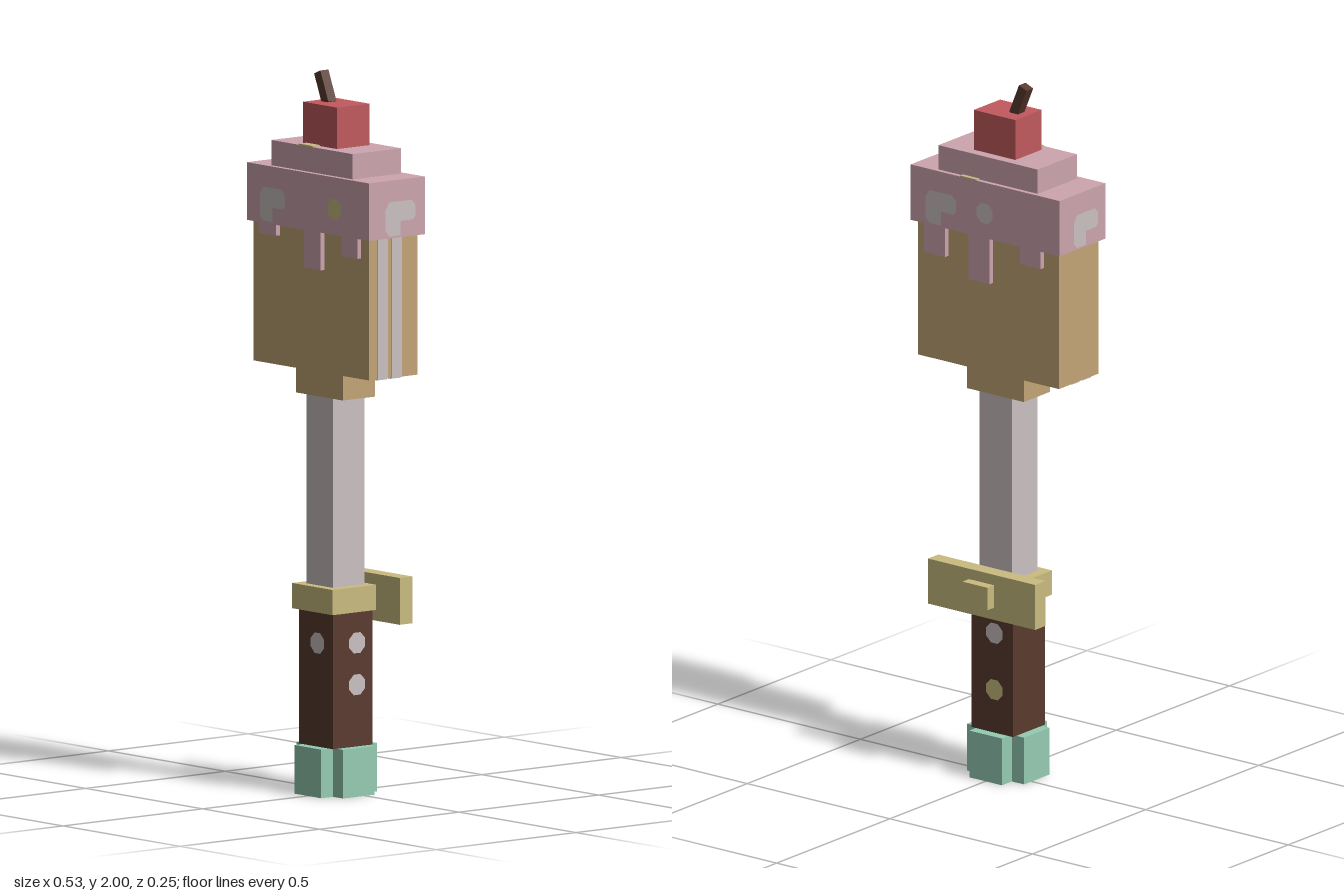
import * as THREE from 'three';

const mat = (name, color) => {
  const m = new THREE.MeshStandardMaterial({ color });
  m.name = name;
  return m;
};

export function createModel() {
  const icing = mat('pink icing', 0xcda5af);
  const cherryRed = mat('cherry red', 0xc25a5e);
  const cake = mat('biscuit', 0xc3a575);
  const cream = mat('cream', 0xcbc2c1);
  const gold = mat('gold', 0xcabc80);
  const brown = mat('chocolate brown', 0x5a3a2e);
  const mint = mat('mint', 0x95ccb3);

  const group = new THREE.Group();
  group.name = 'dessertSword';

  const add = (name, geometry, material) => {
    const mesh = new THREE.Mesh(geometry, material);
    mesh.name = name;
    group.add(mesh);
    return mesh;
  };

  // Box given by its extents on each axis
  const box = (name, material, [x0, x1], [y0, y1], [z0, z1]) => {
    const mesh = add(name, new THREE.BoxGeometry(x1 - x0, y1 - y0, z1 - z0), material);
    mesh.position.set((x0 + x1) / 2, (y0 + y1) / 2, (z0 + z1) / 2);
    return mesh;
  };

  // Flat painted mark turned to face one of the four sides
  const turns = { front: 0, right: Math.PI / 2, back: Math.PI, left: -Math.PI / 2 };
  const mark = (name, geometry, material, side, x, y, z) => {
    const mesh = add(name, geometry, material);
    mesh.rotation.y = turns[side];
    mesh.position.set(x, y, z);
  };
  const spot = new THREE.CircleGeometry(0.031, 8, Math.PI / 8);
  const blotch = new THREE.ShapeGeometry(new THREE.Shape([
    [-0.053, 0.025], [-0.053, -0.035], [-0.04, -0.05], [0, -0.05], [0, -0.01],
    [0.045, -0.01], [0.053, 0], [0.053, 0.03], [0.04, 0.045], [-0.04, 0.045],
  ].map(([x, y]) => new THREE.Vector2(x, y)).reverse()));
  blotch.computeVertexNormals();

  // Pommel with a plus-shaped section
  box('pommelWide', mint, [-0.1, 0.1], [0, 0.135], [-0.033, 0.08]);
  box('pommelDeep', mint, [-0.057, 0.057], [0, 0.135], [-0.077, 0.123]);

  // Grip with sprinkles
  box('grip', brown, [-0.073, 0.073], [0.135, 0.51], [-0.048, 0.094]);
  mark('gripSpotFront', spot, cream, 'front', 0.01, 0.423, 0.097);
  mark('gripSpotRightUpper', spot, cream, 'right', 0.076, 0.423, 0.01);
  mark('gripSpotRightLower', spot, cream, 'right', 0.076, 0.307, 0.01);
  mark('gripSpotBackUpper', spot, cream, 'back', -0.01, 0.423, -0.051);
  mark('gripSpotBackLower', spot, gold, 'back', -0.01, 0.26, -0.051);

  // Collar and the bow behind it
  box('collar', gold, [-0.087, 0.087], [0.51, 0.58], [-0.05, 0.107]);
  box('bowWings', gold, [-0.188, 0.188], [0.48, 0.61], [-0.095, -0.049]);
  box('bowKnot', gold, [-0.044, 0.044], [0.515, 0.58], [-0.124, -0.09]);

  // Shaft and neck
  box('shaft', cream, [-0.057, 0.057], [0.58, 1.105], [-0.033, 0.08]);
  box('neck', cake, [-0.1, 0.1], [1.105, 1.18], [-0.034, 0.081]);

  // Cake slab with cream layers on its side and underside
  box('cake', cake, [-0.247, 0.247], [1.18, 1.575], [-0.064, 0.11]);
  for (const z of [[0.045, 0.08], [-0.005, 0.03]]) {
    box('creamLayerSide', cream, [0.246, 0.25], [1.18, 1.57], z);
    box('creamLayerBottom', cream, [-0.245, 0.245], [1.177, 1.181], z);
  }

  // Icing tiers
  box('icing', icing, [-0.261, 0.261], [1.57, 1.73], [-0.079, 0.123]);
  box('icingTop', icing, [-0.174, 0.174], [1.73, 1.8], [-0.066, 0.108]);

  // Drips: left edge, right edge, lowest point
  const frontDrips = [[-0.21, -0.135, 1.54], [-0.016, 0.055, 1.465], [0.143, 0.213, 1.515]];
  const backDrips = [[0.14, 0.215, 1.487], [-0.016, 0.058, 1.44], [-0.195, -0.122, 1.52]];
  for (const [x0, x1, y] of frontDrips) box('frontDrip', icing, [x0, x1], [y, 1.571], [0.108, 0.123]);
  for (const [x0, x1, y] of backDrips) box('backDrip', icing, [x0, x1], [y, 1.571], [-0.079, -0.062]);

  // Sprinkles on the icing
  mark('icingBlotchFront', blotch, cream, 'front', -0.148, 1.626, 0.126);
  mark('icingSpotFront', spot, gold, 'front', 0.116, 1.642, 0.126);
  mark('icingBlotchRight', blotch, cream, 'right', 0.264, 1.626, 0.012);
  mark('icingBlotchBack', blotch, cream, 'back', 0.153, 1.626, -0.082);
  mark('icingSpotBack', spot, cream, 'back', 0, 1.642, -0.082);
  mark('icingBlotchLeft', blotch, cream, 'left', -0.264, 1.626, 0.034);
  box('icingSprinkleTop', gold, [-0.058, 0], [1.799, 1.803], [0.05, 0.107]);
  box('icingSprinkleRim', gold, [0.03, 0.088], [1.729, 1.733], [-0.079, -0.066]);

  // Cherry and leaning stem
  box('cherry', cherryRed, [-0.073, 0.073], [1.8, 1.915], [-0.037, 0.079]);
  const stem = add('cherryStem', new THREE.BoxGeometry(0.029, 0.09, 0.029), brown);
  stem.rotation.z = Math.PI / 8;
  stem.position.set(-0.047, 1.953, 0.021);

  return group;
}
